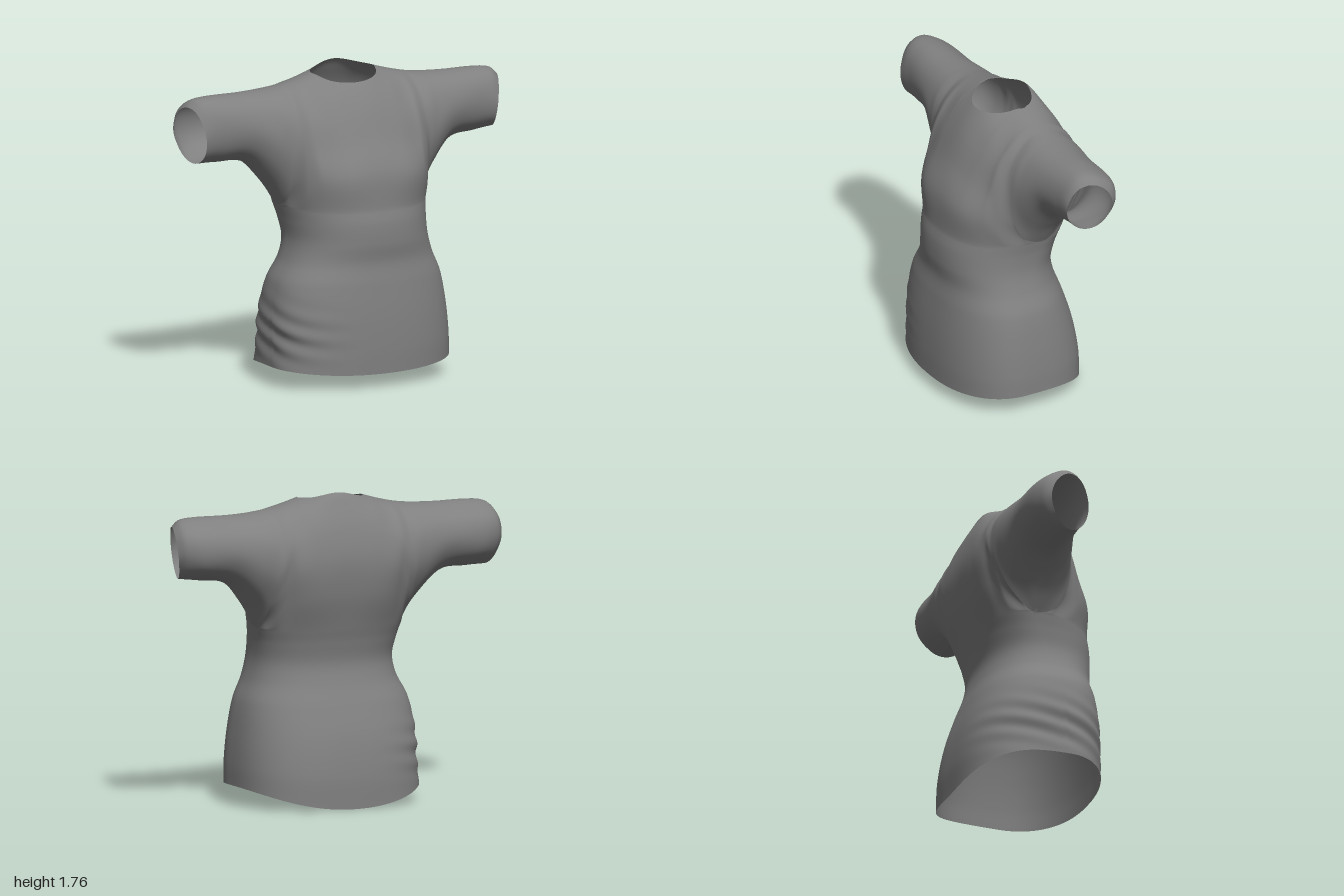
import * as THREE from 'three';
import { mergeGeometries, mergeVertices } from 'three/addons/utils/BufferGeometryUtils.js';

const fabric = new THREE.MeshStandardMaterial({ color: 0x808080, side: THREE.DoubleSide });
fabric.name = 'grey fabric';

const CHEST = 1.0; // height where the body meets the yoke and sleeves

// Smooth curve through table rows; the first number of each row is its key
function sample(table, key) {
  let i = 0;
  while (i < table.length - 2 && key > table[i + 1][0]) i++;
  const row = (j) => table[Math.max(0, Math.min(table.length - 1, j))];
  const [p, q, r, s] = [row(i - 1), row(i), row(i + 1), row(i + 2)];
  const h = r[0] - q[0], t = (key - q[0]) / h;
  return q.map((qc, c) => {
    const m0 = (h * (r[c] - p[c])) / (r[0] - p[0]), m1 = (h * (s[c] - qc)) / (s[0] - q[0]);
    return qc + t * (m0 + t * (3 * (r[c] - qc) - 2 * m0 - m1 + t * (2 * (qc - r[c]) + m0 + m1)));
  });
}

// Body rings: side y, front y, back y, right x, left x, front z, back z, side z
const body = [
  [0.11, 0.08, 0.0, -0.53, 0.552, 0.412, -0.413, 0.08],
  [0.23, 0.22, 0.18, -0.52, 0.55, 0.413, -0.41, 0.08],
  [0.40, 0.40, 0.38, -0.52, 0.535, 0.405, -0.38, 0.075],
  [0.58, 0.58, 0.56, -0.485, 0.505, 0.387, -0.325, 0.06],
  [0.70, 0.70, 0.69, -0.42, 0.46, 0.372, -0.277, 0.04],
  [0.81, 0.81, 0.80, -0.39, 0.435, 0.382, -0.255, 0.01],
  [0.92, 0.92, 0.92, -0.4, 0.437, 0.379, -0.273, -0.035],
  [CHEST, CHEST, CHEST, -0.417, 0.451, 0.363, -0.294, -0.07],
];

// k runs across the body: -1 right side, 0 middle, 1 left side
function bodyPoint(k, v, face) {
  const [yS, yF, yB, xR, xL, zF, zB, zS] = sample(body, THREE.MathUtils.lerp(body[0][0], CHEST, v));
  const n = face > 0 ? 2.3 : 2.8 - 0.4 * Math.min(1, v * 1.5);
  const depth = Math.pow(Math.max(0, 1 - Math.abs(k) ** n), 1 / n);
  const y = yS + ((face > 0 ? yF : yB) - yS) * (1 - k * k);
  // Gathered folds on the right side near the hem
  const gather = Math.exp(-(((y - 0.3) / 0.14) ** 2)) * Math.max(0, -k) ** 3;
  const fold = 0.008 * gather * Math.sin((y + 0.1 * face * depth) * 55);
  return [
    (xL + xR) / 2 + (k * (xL - xR)) / 2 - fold,
    y,
    zS + ((face > 0 ? zF : zB) - zS) * depth + fold * face * depth,
  ];
}

// Yoke and sleeve sections: k (0 middle, 1 armpit, 2 cuff), ridge y, ridge z,
// then front z and back z at five steps from the underside to the ridge
const yoke = [
  [-0.42, 1.725, -0.09, 0.335, 0.255, 0.185, 0.105, 0.0, -0.34, -0.36, -0.335, -0.28, -0.2],
  [0, 1.785, -0.09, 0.347, 0.265, 0.19, 0.1, 0.0, -0.345, -0.36, -0.325, -0.265, -0.205],
  [0.42, 1.725, -0.09, 0.335, 0.255, 0.185, 0.105, 0.0, -0.34, -0.36, -0.335, -0.28, -0.2],
  [0.7, 1.69, -0.09, 0.28, 0.22, 0.165, 0.085, 0.0, -0.312, -0.348, -0.33, -0.27, -0.19],
  [0.88, 1.672, -0.09, 0.195, 0.195, 0.165, 0.105, 0.01, -0.25, -0.305, -0.335, -0.295, -0.205],
  [1, 1.663, -0.09, 0.05, 0.115, 0.14, 0.115, 0.03, -0.15, -0.25, -0.32, -0.312, -0.222],
  [1.15, 1.655, -0.09, 0.02, 0.09, 0.117, 0.09, 0.02, -0.16, -0.262, -0.312, -0.295, -0.21],
  [1.4, 1.65, -0.09, 0.0, 0.06, 0.083, 0.06, 0.0, -0.18, -0.255, -0.287, -0.26, -0.18],
  [1.75, 1.65, -0.08, -0.01, 0.04, 0.057, 0.04, -0.01, -0.17, -0.25, -0.275, -0.25, -0.17],
  [1.92, 1.638, -0.075, -0.01, 0.038, 0.052, 0.033, -0.01, -0.155, -0.215, -0.24, -0.22, -0.15],
  [2, 1.602, -0.07, -0.01, 0.035, 0.05, 0.03, -0.01, -0.13, -0.175, -0.2, -0.18, -0.13],
];

// Underside of the sleeve: k, y
const underarm = [[1, CHEST], [1.15, 1.125], [1.4, 1.265], [1.75, 1.295], [2, 1.31]];

function yokePoint(k, v, face) {
  const side = Math.sign(k), a = Math.abs(k), out = Math.max(0, a - 1);
  const [, yTop, zTop, ...z] = sample(yoke, a);
  const [xStart, , zStart] = bodyPoint(THREE.MathUtils.clamp(k, -1, 1), 1, face);
  const yStart = a > 1 ? sample(underarm, a)[1] - (side < 0 ? 0.03 * out * out : 0) : CHEST;
  const steps = [zStart, ...(face > 0 ? z.slice(0, 5) : z.slice(5)), zTop].map((d, i) => [i, d]);
  // Stop at the oval neckline, otherwise run up to the shoulder ridge
  let end = 6;
  const across = 1 - ((xStart - 0.008) / 0.192) ** 2;
  if (across > 0) {
    const edge = -0.09 + (face > 0 ? 0.19 : -0.12) * Math.sqrt(across);
    let low = 3;
    for (let i = 0; i < 30; i++) {
      const mid = (low + end) / 2;
      if ((sample(steps, mid)[1] - edge) * face > 0) low = mid;
      else end = mid;
    }
  }
  const step = end * v;
  const zz = sample(steps, step)[1];
  // Over the body the sheet rises straight from the chest; sleeves are round below
  const straight = Math.sin((step / 12) * Math.PI);
  const round = (1 - Math.cos((step / 6) * Math.PI)) / 2;
  const rise = THREE.MathUtils.lerp(straight, round, THREE.MathUtils.smoothstep(a, 0.75, 1));
  const y = yStart + (yTop - yStart) * rise;
  // The cuff is cut at a slant, longer at the top and back
  const slant = out * out * (0.12 * (y - 1.46) - 0.3 * (zz + 0.07));
  return [xStart + (side * 0.96 - xStart) * out + side * slant, y, zz];
}

// Sheet spanned by columns across and rows upward, facing front (1) or back (-1)
function sheet(columns, rows, point, face) {
  const pos = [], index = [], w = columns.length;
  for (let r = 0; r <= rows; r++) {
    for (const k of columns) pos.push(...point(k, r / rows, face));
  }
  for (let r = 0; r < rows; r++) {
    for (let i = 0; i < w - 1; i++) {
      const a = r * w + i, b = a + 1, c = a + w, d = c + 1;
      if (face > 0) index.push(a, b, c, b, d, c);
      else index.push(a, c, b, b, c, d);
    }
  }
  const geo = new THREE.BufferGeometry();
  geo.setAttribute('position', new THREE.Float32BufferAttribute(pos, 3));
  geo.setIndex(index);
  return geo;
}

export function createModel() {
  const torso = [], sleeve = [];
  for (let i = 0; i <= 96; i++) {
    const c = -Math.cos((Math.PI * i) / 96);
    torso.push(Math.sign(c) * Math.abs(c) ** 0.85);
  }
  for (let i = 1; i <= 40; i++) sleeve.push(1 + i / 40);
  const full = [...sleeve.map((k) => -k).reverse(), ...torso, ...sleeve];

  // Front and back halves are sewn into one seamless garment
  const halves = [1, -1].flatMap((face) => [
    sheet(torso, 70, bodyPoint, face),
    sheet(full, 44, yokePoint, face),
  ]);
  const geo = mergeVertices(mergeGeometries(halves), 1e-4);
  geo.computeVertexNormals();
  const garment = new THREE.Mesh(geo, fabric);
  garment.name = 'bodyAndSleeves';

  const shirt = new THREE.Group();
  shirt.name = 'shortSleevedShirt';
  shirt.add(garment);
  return shirt;
}
